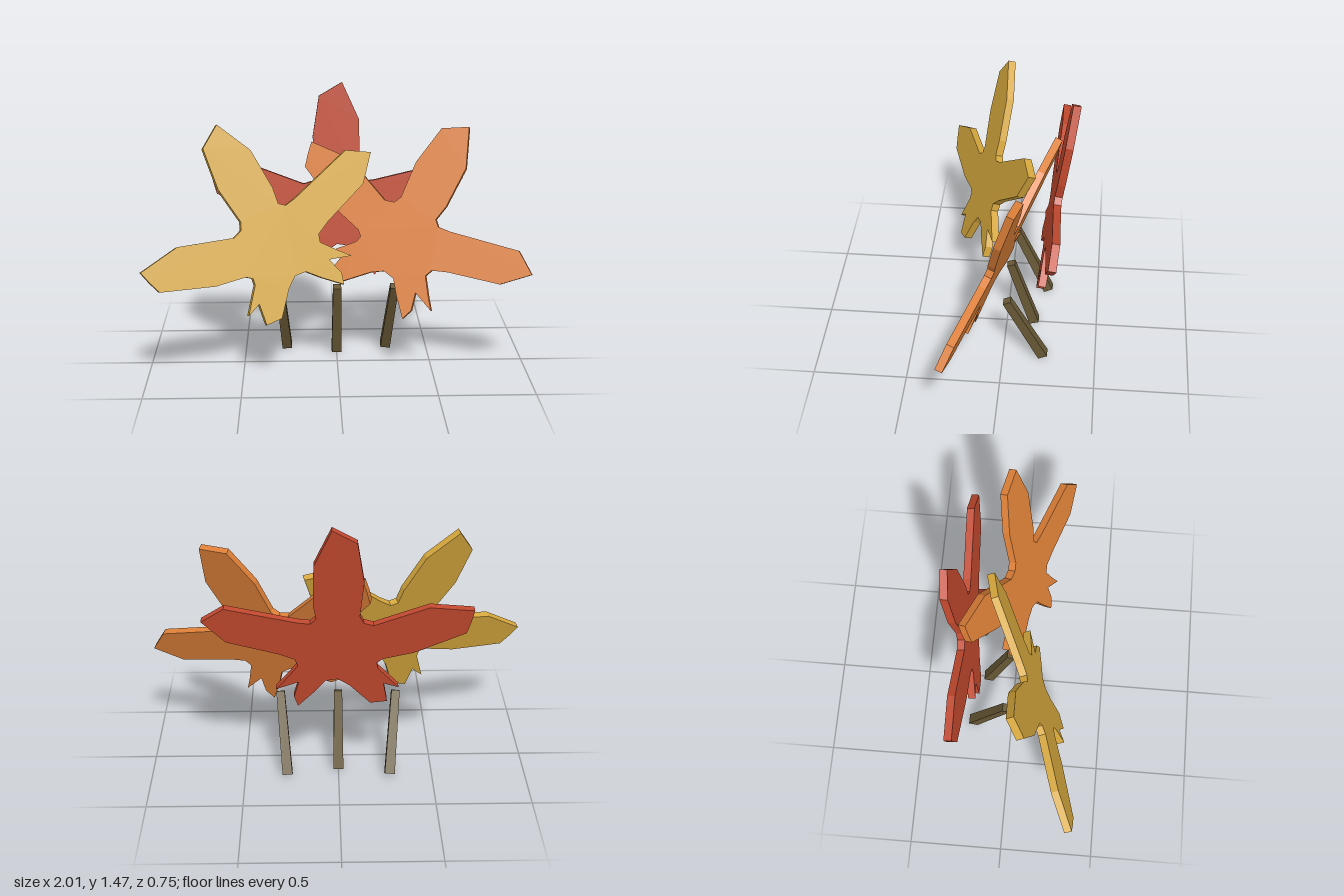
import * as THREE from 'three';

const material = (name, color) => {
  const m = new THREE.MeshStandardMaterial({ color });
  m.name = name;
  return m;
};

// Maple-like leaf outline, clockwise from the left lobe's tip
const OUTLINE = [
  [-0.705, 0.22], [-0.48, 0.24], [-0.20, 0.135], [-0.15, 0.15], [-0.13, 0.19],       // left lobe top
  [-0.15, 0.39], [-0.115, 0.61], [0.01, 0.683], [0.10, 0.485], [0.105, 0.26],        // upper lobe
  [0.09, 0.175], [0.12, 0.147], [0.185, 0.155],
  [0.55, 0.24], [0.667, 0.164], [0.546, 0.04], [0.278, -0.037],                      // right lobe
  [0.20, -0.07], [0.185, -0.11],
  [0.25, -0.197], [0.30, -0.257], [0.182, -0.213], [0.207, -0.306], [0.187, -0.366], // small right lobe
  [0.10, -0.275], [0.042, -0.205], [-0.02, -0.195], [-0.08, -0.235],
  [-0.19, -0.35], [-0.277, -0.34], [-0.257, -0.226], [-0.335, -0.25],                // small left lobe
  [-0.227, -0.13], [-0.22, -0.095], [-0.25, -0.07],
  [-0.407, -0.033], [-0.67, 0.085], [-0.69, 0.15],                                   // left lobe underside
];
const THICKNESS = 0.04;

function leafGeometry() {
  const shape = new THREE.Shape(OUTLINE.map(([x, y]) => new THREE.Vector2(x, y)));
  const g = new THREE.ExtrudeGeometry(shape, { depth: THICKNESS, bevelEnabled: false });
  return g.translate(0, 0, -THICKNESS);
}

// Lays a leaf in the plane dz = slopeX * dx + slopeY * dy, spun about its own normal
function placeLeaf(mesh, position, slopeX, slopeY, spinDegrees) {
  const normal = new THREE.Vector3(-slopeX, -slopeY, 1).normalize();
  const across = new THREE.Vector3(1, 0, slopeX).normalize();
  const up = normal.clone().cross(across);
  const spin = new THREE.Matrix4().makeRotationZ(THREE.MathUtils.degToRad(spinDegrees));
  const basis = new THREE.Matrix4().makeBasis(across, up, normal).multiply(spin);
  mesh.quaternion.setFromRotationMatrix(basis);
  mesh.position.set(...position);
}

// Square, slightly tapered stick between two points
function stick(name, bottom, top, mat) {
  const a = new THREE.Vector3(...bottom), b = new THREE.Vector3(...top);
  const dir = b.clone().sub(a);
  const g = new THREE.CylinderGeometry(0.031, 0.0375, dir.length(), 4).rotateY(Math.PI / 4).toNonIndexed();
  g.computeVertexNormals();
  const mesh = new THREE.Mesh(g, mat);
  mesh.name = name;
  mesh.position.copy(a).add(b).multiplyScalar(0.5);
  mesh.quaternion.setFromUnitVectors(new THREE.Vector3(0, 1, 0), dir.normalize());
  return mesh;
}

export function createModel() {
  const model = new THREE.Group();
  model.name = 'autumnLeaves';

  // Three copies of one leaf
  const geometry = leafGeometry();
  const leaves = [
    ['yellowLeaf', material('golden yellow', 0xd4a63c), [-0.30, 0.72, 0.146], -0.279, -0.321, 25],
    ['orangeLeaf', material('orange', 0xdb7e37), [0.355, 0.692, 0.051], 0.272, -0.332, -25],
    ['redLeaf', material('rust red', 0xc0482e), [0.025, 0.797, -0.226], 0, -0.152, 0],
  ];
  for (const [name, mat, position, slopeX, slopeY, spin] of leaves) {
    const mesh = new THREE.Mesh(geometry, mat);
    mesh.name = name;
    placeLeaf(mesh, position, slopeX, slopeY, spin);
    model.add(mesh);
  }

  // Three leaning stems
  const brown = material('stem brown', 0x685835);
  model.add(stick('middleStem', [0, 0.01, -0.153], [0, 0.417, -0.022], brown));
  for (const [side, s] of [['left', 1], ['right', -1]]) {
    model.add(stick(side + 'Stem', [s * 0.273, 0.014, -0.217], [s * 0.308, 0.417, -0.024], brown));
  }
  return model;
}
